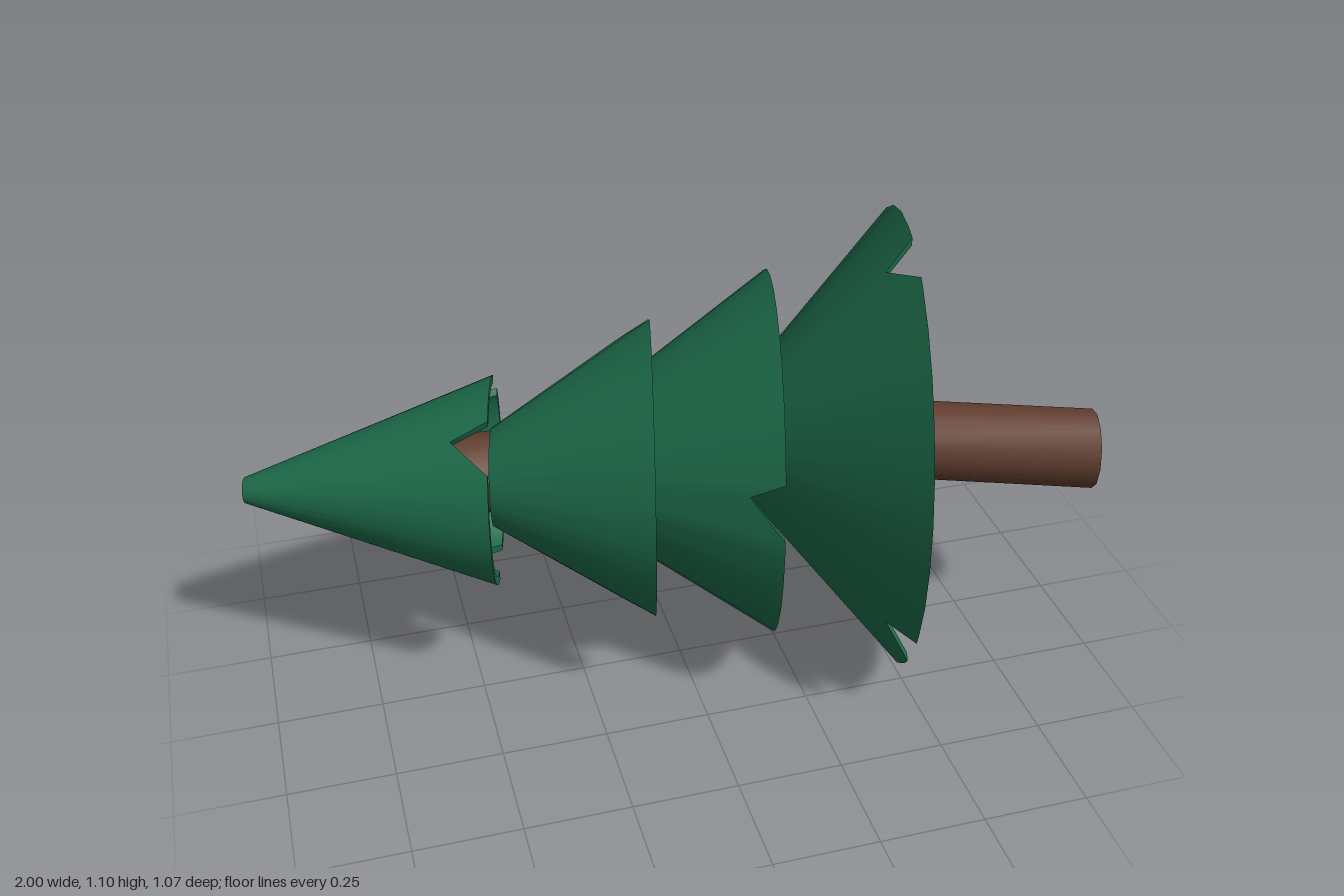
import * as THREE from 'three';

const MID_Y = 0.556;
const V = (x, y, z) => new THREE.Vector3(x, y, z);
const at = (x, z) => V(x, MID_Y, z);

// Direction around a ring whose plane faces (cos tilt, 0, sin tilt)
const spoke = (a, tilt) =>
  V(-Math.sin(a) * Math.sin(tilt), Math.cos(a), Math.sin(a) * Math.cos(tilt));

// Closed band of quads between two rings of points; smooth or faceted
function band(ringA, ringB, mat, flat = false) {
  const n = ringA.length, pos = [], idx = [];
  for (const p of [...ringA, ...ringB]) pos.push(p.x, p.y, p.z);
  for (let i = 0; i < n; i++) {
    const j = (i + 1) % n;
    idx.push(i, j, n + i, j, n + j, n + i);
  }
  let g = new THREE.BufferGeometry();
  g.setAttribute('position', new THREE.Float32BufferAttribute(pos, 3));
  g.setIndex(idx);
  if (flat) g = g.toNonIndexed();
  g.computeVertexNormals();
  return new THREE.Mesh(g, mat);
}

// Angles round a rim with the depth (0..1) of the notches cut into it
function rimAngles(notches, width) {
  const TAU = Math.PI * 2, list = [];
  const wrap = (a) => ((a % TAU) + TAU) % TAU;
  const cuts = notches.map((d) => THREE.MathUtils.degToRad(d));
  for (let i = 0; i < 32; i++) {
    const a = (i / 32) * TAU;
    const clear = cuts.every((c) => {
      const d = wrap(a - c + Math.PI) - Math.PI;
      return d < -width * 0.45 || d > width * 1.1;
    });
    if (clear) list.push([a, 0]);
  }
  for (const c of cuts)
    list.push([wrap(c - width * 0.35), 0], [wrap(c), 1], [wrap(c + width), 0]);
  return list.sort((p, q) => p[0] - q[0]);
}

// Hollow cone of foliage with a thick, notched rim
function tier({ top, r0, base, r1, notches, capped }, mat) {
  const group = new THREE.Group();
  const tilt = 0.23, wall = 0.02;
  const c0 = at(...top), c1 = at(...base);
  const depth = 0.09 / Math.hypot(c0.distanceTo(c1), r1 - r0);
  const angles = rimAngles(notches, 0.09 / r1 + 0.02);
  const ring = (onRim, inset) => angles.map(([a, d]) => {
    const t = onRim ? 1 - d * depth : 0;
    const r = r0 + (r1 - r0) * t - inset;
    return c0.clone().lerp(c1, t).addScaledVector(spoke(a, tilt), r);
  });
  const topOut = ring(false, 0), rimOut = ring(true, 0);
  const rimIn = ring(true, wall), topIn = ring(false, wall);
  const parts = {
    outerFoliage: band(topOut, rimOut, mat),
    rim: band(rimOut, rimIn, mat, true),
    innerFoliage: band(rimIn, topIn, mat),
    collar: band(topIn, topOut, mat, true),
  };
  if (capped) parts.tip = band(topOut.map(() => c0), topOut, mat, true);
  for (const [name, mesh] of Object.entries(parts)) {
    mesh.name = name;
    group.add(mesh);
  }
  return group;
}

// Bent trunk: rings along a short path, closed at both ends
function trunk(mat) {
  const group = new THREE.Group();
  const sides = 12, r = 0.095;
  const path = [[-0.72, -0.12, 0.04], [0.22, -0.09, 0.12], [0.3, -0.08, 0.25], [0.975, 0.18, 0.27]];
  const rings = path.map(([x, z, tilt]) =>
    Array.from({ length: sides }, (_, i) =>
      at(x, z).addScaledVector(spoke((i / sides) * Math.PI * 2, tilt), r)));
  for (let i = 0; i < rings.length - 1; i++) group.add(band(rings[i], rings[i + 1], mat));
  const cap = (i) => rings[i].map(() => at(path[i][0], path[i][1]));
  group.add(band(cap(0), rings[0], mat, true));
  group.add(band(rings[3], cap(3), mat, true));
  group.children.forEach((m, i) => { m.name = i < 3 ? 'trunkSection' + (i + 1) : 'trunkEnd' + (i - 2); });
  group.name = 'trunk';
  return group;
}

export function createModel() {
  const model = new THREE.Group();
  model.name = 'fallenFirTree';
  const green = new THREE.MeshStandardMaterial({ color: 0x1d6b4a });
  const brown = new THREE.MeshStandardMaterial({ color: 0x633f30 });

  // Foliage tiers from the tip to the lowest branches: [x, z] centres
  const tiers = [
    { top: [-0.99, -0.185], r0: 0.03, base: [-0.425, -0.07], r1: 0.245, notches: [32, -52, 170], capped: true },
    { top: [-0.43, -0.085], r0: 0.115, base: [-0.06, -0.028], r1: 0.352, notches: [-33, 143, -115] },
    { top: [-0.23, -0.085], r0: 0.115, base: [0.225, -0.022], r1: 0.432, notches: [72, -55, -165] },
    { top: [0.17, -0.1], r0: 0.115, base: [0.535, -0.005], r1: 0.552, notches: [9, -106, 120] },
  ];
  tiers.forEach((t, i) => {
    const g = tier(t, green);
    g.name = 'foliageTier' + (i + 1);
    model.add(g);
  });

  model.add(trunk(brown));
  return model;
}
